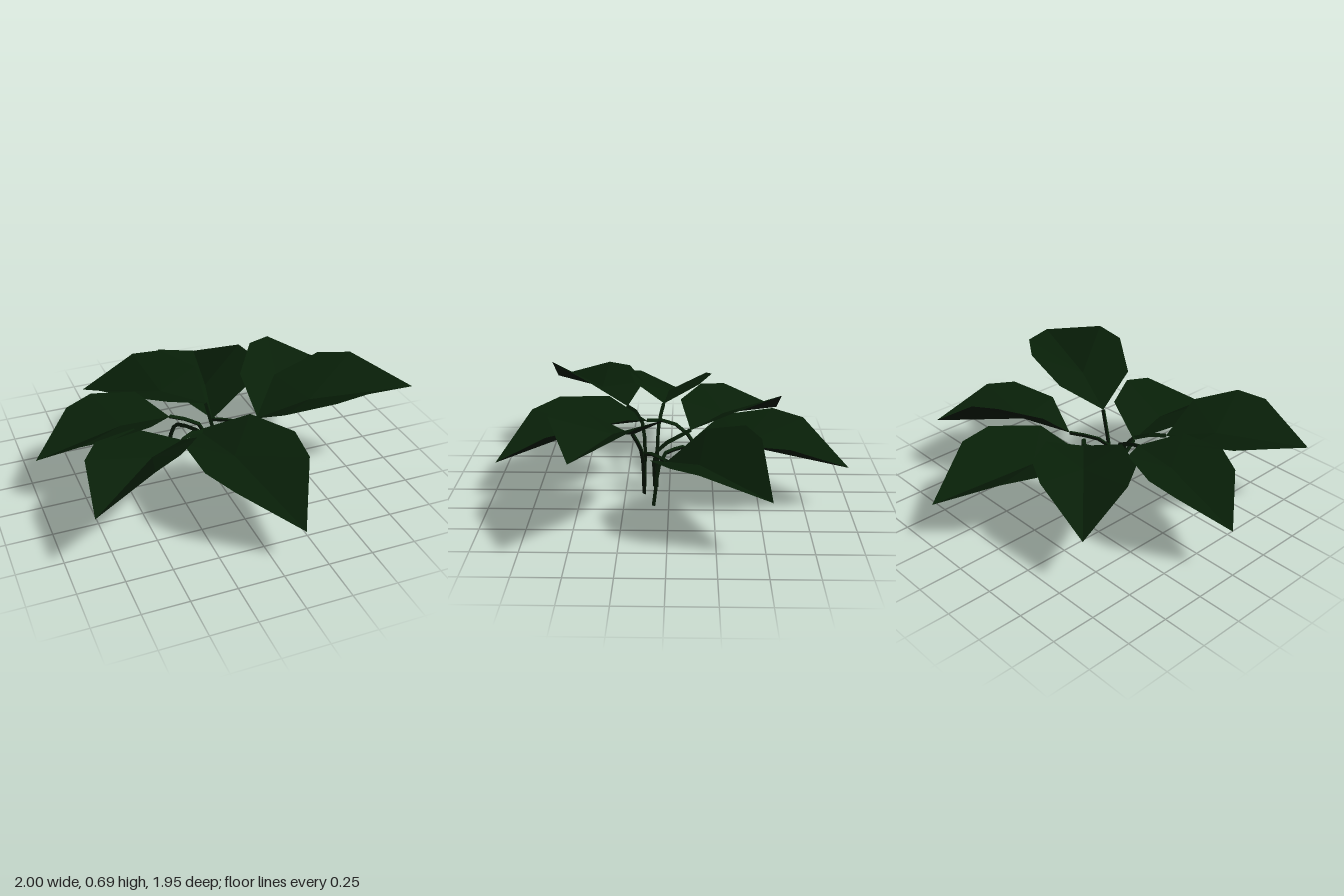
import * as THREE from 'three';

const V = (a) => new THREE.Vector3(...a);

// Half outline of a leaf: [fraction of length, half width, lift], in units of leaf length
const EDGE = [[0.17, 0.255, 0.14], [0.48, 0.335, 0.195], [0.68, 0.275, 0.18]];
const RIB = [0.35, 0, 0.06];

// Cupped low-poly blade: two fans of facets around a raised point on the midrib
function leafGeometry(base, tip, roll, cup) {
  const d = tip.clone().sub(base), len = d.length();
  const side = d.clone().cross(new THREE.Vector3(0, 1, 0)).normalize();
  const up = side.clone().cross(d).normalize();
  const axis = d.clone().normalize();
  // positive roll lowers the right-hand side, seen from the base
  side.applyAxisAngle(axis, roll);
  up.applyAxisAngle(axis, roll);
  const at = ([a, w, h], sign) => base.clone().addScaledVector(d, a)
    .addScaledVector(side, sign * w * len).addScaledVector(up, h * len * cup);

  const points = [];
  const rib = at(RIB, 1);
  for (const sign of [1, -1]) {
    const rim = [base, ...EDGE.map((e) => at(e, sign)), tip];
    for (let i = 0; i < rim.length - 1; i++) {
      points.push(rib, ...(sign > 0 ? [rim[i], rim[i + 1]] : [rim[i + 1], rim[i]]));
    }
  }
  const geo = new THREE.BufferGeometry().setFromPoints(points);
  geo.computeVertexNormals();
  return geo;
}

// Each leaf: base, tip, roll, depth of the cup, and the stem's points below the base
const LEAVES = [
  { name: 'frontLeaf', base: [-0.13, 0.39, 0.13], tip: [0.125, 0.23, 0.97], roll: 0.02, cup: 1,
    stem: [[-0.19, 0.05, -0.24], [-0.19, 0.31, -0.08], [-0.175, 0.37, 0.02]] },
  { name: 'frontLeftLeaf', base: [0.19, 0.43, 0.195], tip: [1, 0.6, 0.45], roll: 0, cup: 1,
    stem: [[0.04, 0.01, 0.14], [0.1, 0.29, 0.15]] },
  { name: 'backLeftLeaf', base: [0.28, 0.31, 0.01], tip: [0.87, 0.35, -0.515], roll: 0.18, cup: 1.28,
    stem: [[-0.01, 0.03, 0.14], [0.01, 0.22, 0.14], [0.12, 0.29, 0.11]] },
  { name: 'backLeaf', base: [0.04, 0.3, -0.085], tip: [0.255, 0.27, -0.975], roll: 0, cup: 1,
    stem: [[0.245, 0.03, 0.08], [0.18, 0.3, 0.03]] },
  { name: 'backRightLeaf', base: [0.015, 0.39, -0.12], tip: [-0.575, 0.32, -0.655], roll: -0.05, cup: 1.05,
    stem: [[-0.01, 0.03, 0.08], [0, 0.25, 0.07]] },
  { name: 'rightLeaf', base: [-0.26, 0.45, 0.035], tip: [-1, 0.3, -0.03], roll: 0, cup: 0.97,
    stem: [[-0.01, 0.03, 0.07], [-0.09, 0.37, 0.06]] },
  { name: 'frontRightLeaf', base: [-0.265, 0.43, 0.25], tip: [-0.875, 0.42, 0.735], roll: 0.18, cup: 1.04,
    stem: [[-0.01, 0.03, 0.14], [-0.06, 0.33, 0.14], [-0.15, 0.41, 0.17]] },
];

export function createModel() {
  const group = new THREE.Group();
  group.name = 'plant';
  const material = new THREE.MeshStandardMaterial({
    color: 0x081f08, flatShading: true, side: THREE.DoubleSide });

  for (const { name, base, tip, roll, cup, stem } of LEAVES) {
    const part = new THREE.Group();
    part.name = name;

    const blade = new THREE.Mesh(leafGeometry(V(base), V(tip), roll, cup), material);
    blade.name = 'blade';

    // Thin three-sided stalk bending into the leaf base
    const curve = new THREE.CatmullRomCurve3([...stem, base].map(V));
    const stalk = new THREE.Mesh(new THREE.TubeGeometry(curve, 6, 0.013, 3), material);
    stalk.name = 'stem';

    part.add(blade, stalk);
    group.add(part);
  }
  return group;
}
